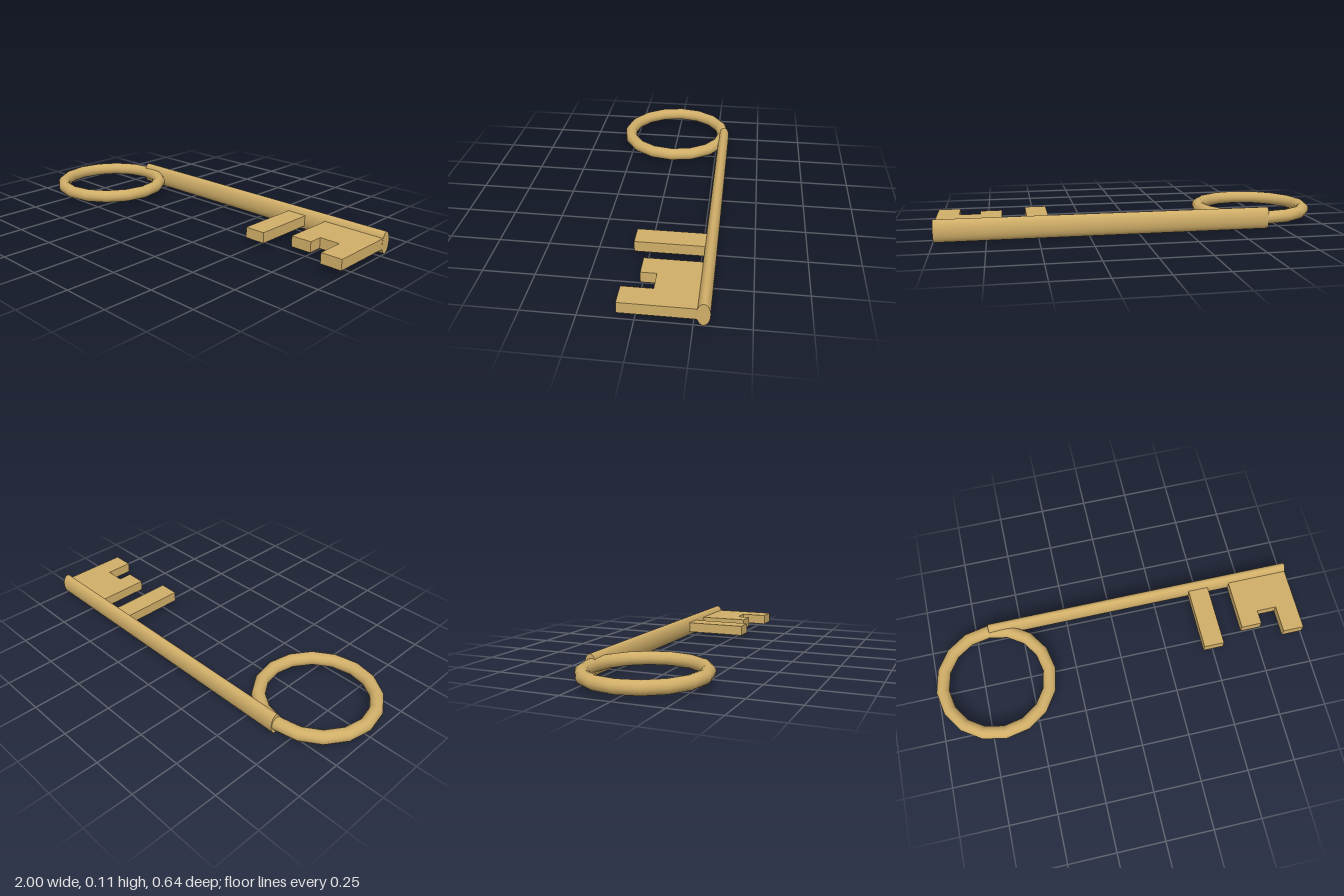
import * as THREE from 'three';

const MID = 0.056; // height of the key's centre plane

export function createModel() {
  const key = new THREE.Group();
  key.name = 'key';
  const brass = new THREE.MeshStandardMaterial({ color: 0xd0ae68 });

  const add = (name, geometry, x, y, z) => {
    const mesh = new THREE.Mesh(geometry, brass);
    mesh.name = name;
    mesh.position.set(x, y, z);
    key.add(mesh);
    return mesh;
  };

  // Ring handle, lying flat, sixteen segments around
  const ring = new THREE.TorusGeometry(0.286, 0.034, 16, 16).rotateX(Math.PI / 2);
  add('ringHandle', ring, -0.68, MID, 0);

  // Shaft: a rod with a tall oval section
  const shaft = new THREE.CylinderGeometry(1, 1, 1.67, 32)
    .rotateZ(Math.PI / 2)
    .scale(1, MID, 0.03);
  add('shaft', shaft, 0.163, MID, -0.292);

  // Flat bits, drawn in plan as [x, z] and extruded upwards
  const bit = (name, plan) => {
    const shape = new THREE.Shape(plan.map(([x, z]) => new THREE.Vector2(x, -z)));
    const geometry = new THREE.ExtrudeGeometry(shape, { depth: 0.055, bevelEnabled: false });
    add(name, geometry.rotateX(-Math.PI / 2), 0, 0.029, 0);
  };
  bit('innerTooth', [[0.444, -0.268], [0.444, 0.07], [0.552, 0.07], [0.552, -0.268]]);
  bit('notchedBit', [
    [0.672, -0.268], [0.672, 0.006], [0.781, 0.006], [0.781, -0.069],
    [0.886, -0.069], [0.886, 0.077], [0.997, 0.077], [0.997, -0.268],
  ]);

  return key;
}
